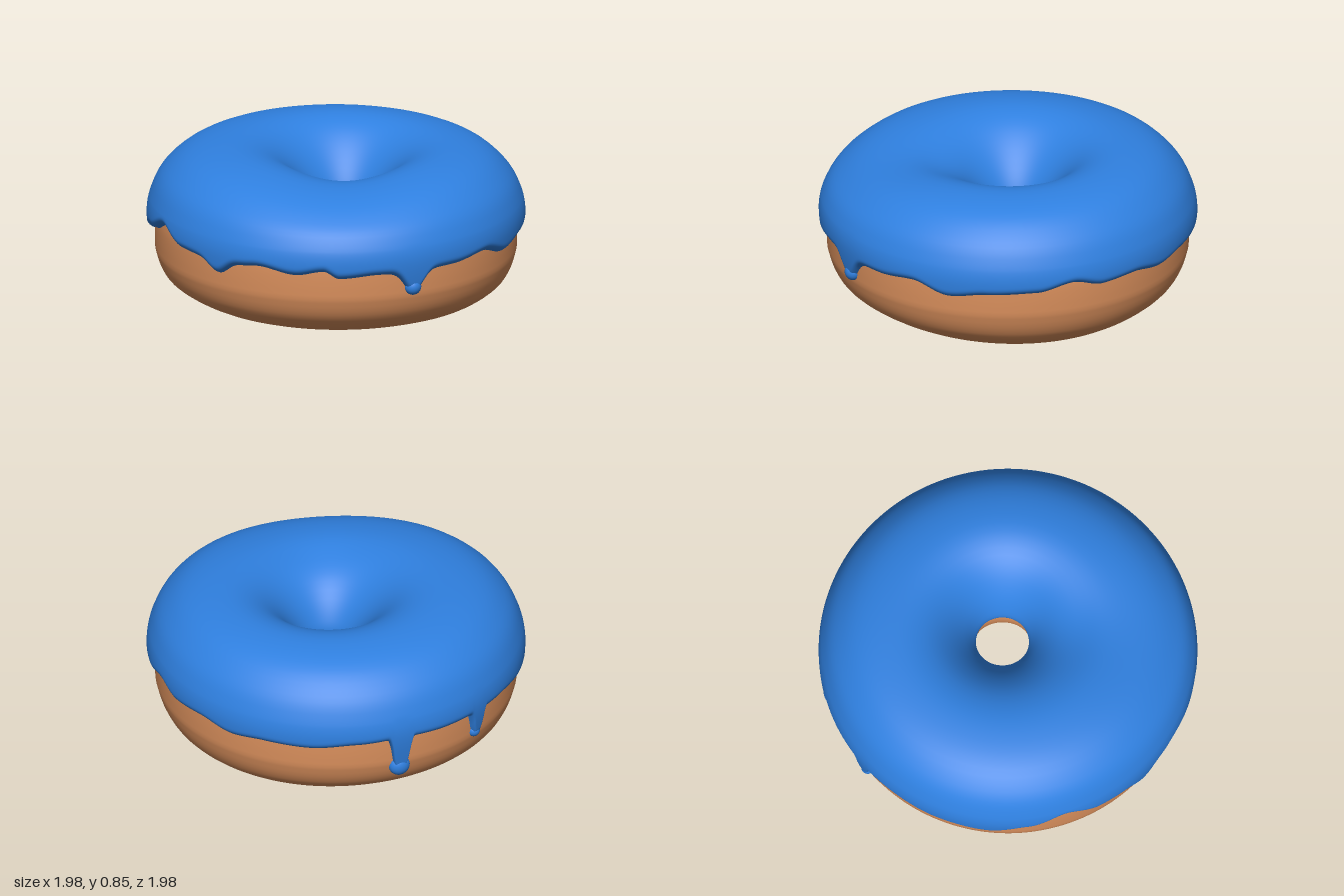
import * as THREE from 'three';

const SEG = 480;
const RAD = Math.PI / 180;
const { lerp, clamp, smoothstep } = THREE.MathUtils;

// Signed difference between two angles in degrees
const angleGap = (a, b) => ((a - b + 540) % 360) - 180;

// Icing edge height around the ring: [degrees from +x towards +z, y]
const RIM = [
  [0, 0.375], [12, 0.43], [25, 0.41], [52, 0.41], [64, 0.395], [69, 0.435], [78, 0.41],
  [90, 0.44], [96, 0.43], [113, 0.425], [121, 0.43], [133, 0.5], [145, 0.43], [157, 0.37],
  [172, 0.39], [190, 0.42], [215, 0.42], [231, 0.43], [245, 0.42], [260, 0.4], [275, 0.405],
  [286, 0.39], [298, 0.42], [310, 0.41], [320, 0.45], [332, 0.41], [348, 0.4], [360, 0.375],
];

// Drips: angle, lowest y, angular half-width, sharpness, bulb radius
const DRIPS = [
  { at: 40, tip: 0.285, width: 4, power: 2, bulb: 0.045 },
  { at: 105, tip: 0.36, width: 4.5, power: 2, bulb: 0 },
  { at: 202, tip: 0.27, width: 2.2, power: 4, bulb: 0.034 },
  { at: 231, tip: 0.2, width: 2.8, power: 4, bulb: 0.057 },
];

function rimHeight(deg) {
  let k = 0;
  while (k < RIM.length - 2 && RIM[k + 1][0] <= deg) k++;
  const [a0, y0] = RIM[k], [a1, y1] = RIM[k + 1];
  let y = lerp(y0, y1, smoothstep(deg, a0, a1));
  for (const d of DRIPS) {
    const gap = Math.abs(angleGap(deg, d.at)) / d.width;
    y = lerp(y, d.tip, Math.exp(-Math.pow(gap, d.power)));
  }
  return y;
}

// Hand-made unevenness: off-centre hole, sagging front crest, tilted base
function place(r, y, deg) {
  const a = deg * RAD;
  const shift = clamp((0.9 - r) / 0.75, 0, 1);
  const crest = 0.008 * Math.cos((deg - 200) * RAD) - 0.045 * Math.exp(-((angleGap(deg, 65) / 38) ** 2));
  const base = -0.02 * Math.max(0, Math.cos((deg + 42) * RAD)) ** 2;
  const py = y + crest * smoothstep(y, 0.5, 0.82) * smoothstep(r, 0.15, 0.45)
    + base * (1 - smoothstep(y, 0.02, 0.3));
  return [r * Math.cos(a) + 0.03 * shift, py, r * Math.sin(a) - 0.05 * shift];
}

// Sweeps a profile, which may change with the angle, into a seamless smooth ring
function ring(profileAt, closed) {
  const pos = [], index = [];
  let rows = 0;
  for (let i = 0; i < SEG; i++) {
    const deg = (i / SEG) * 360;
    const profile = profileAt(deg);
    rows = profile.length;
    for (const [r, y] of profile) pos.push(...place(r, y, deg));
  }
  for (let i = 0; i < SEG; i++) {
    const n = (i + 1) % SEG;
    for (let j = 0; j < (closed ? rows : rows - 1); j++) {
      const k = (j + 1) % rows;
      const a = i * rows + j, b = i * rows + k, c = n * rows + j, d = n * rows + k;
      index.push(a, b, c, b, d, c);
    }
  }
  const geo = new THREE.BufferGeometry();
  geo.setAttribute('position', new THREE.Float32BufferAttribute(pos, 3));
  geo.setIndex(index);
  geo.computeVertexNormals();
  return geo;
}

const spline = (pts, n) =>
  new THREE.SplineCurve(pts.map(([r, y]) => new THREE.Vector2(r, y))).getPoints(n).map((p) => [p.x, p.y]);

// Outer icing radius on the side wall
const sideRadius = (y) =>
  y > 0.47 ? 0.99 - 1.7 * (y - 0.47) ** 2 : lerp(0.957, 0.99, smoothstep(y, 0.15, 0.47));

export function createModel() {
  const group = new THREE.Group();
  const doughMat = new THREE.MeshStandardMaterial({ color: 0xd98f5c });
  const icingMat = new THREE.MeshStandardMaterial({ color: 0x2f80e0, side: THREE.DoubleSide });

  // Dough: closed profile from the outer wall over the top, through the hole and under
  const doughProfile = spline([
    [0.945, 0.28], [0.947, 0.38], [0.94, 0.48], [0.9, 0.61], [0.78, 0.72], [0.55, 0.77],
    [0.38, 0.72], [0.24, 0.6], [0.17, 0.48], [0.15, 0.4], [0.165, 0.31], [0.21, 0.2],
    [0.27, 0.11], [0.36, 0.05], [0.48, 0.022], [0.62, 0.022], [0.75, 0.055],
    [0.87, 0.13], [0.92, 0.2], [0.945, 0.28],
  ], 64).slice(0, -1);
  const dough = new THREE.Mesh(ring(() => doughProfile, true), doughMat);
  dough.name = 'dough';
  group.add(dough);

  // Icing: rounded wavy edge with drips, then over the crest and into the hole
  const overTop = spline([
    [sideRadius(0.56), 0.56], [0.943, 0.64], [0.89, 0.71], [0.8, 0.78], [0.68, 0.822], [0.53, 0.835],
    [0.4, 0.8], [0.29, 0.72], [0.2, 0.61], [0.15, 0.51], [0.139, 0.45], [0.155, 0.42],
  ], 32);
  const EDGE_ROWS = 18;
  const icingProfile = (deg) => {
    const rim = rimHeight(deg), side = [];
    for (let j = 0; j < EDGE_ROWS; j++) {
      const t = j / EDGE_ROWS;
      const y = lerp(rim, 0.56, t * t);
      const u = clamp(1 - (y - rim) / 0.05, 0, 1);
      side.push([sideRadius(y) - 0.06 * (1 - Math.sqrt(1 - u * u)), y]);
    }
    return side.concat(overTop);
  };
  const icing = new THREE.Mesh(ring(icingProfile, false), icingMat);
  icing.name = 'icing';
  group.add(icing);

  // Beads at the ends of the longer drips
  for (const d of DRIPS.filter((drip) => drip.bulb)) {
    const bead = new THREE.Mesh(new THREE.SphereGeometry(d.bulb, 24, 16), icingMat);
    const y = d.tip + d.bulb;
    bead.position.set(...place(sideRadius(y) - 0.03, y, d.at));
    bead.rotation.y = -d.at * RAD;
    bead.scale.set(Math.min(1, 0.042 / d.bulb), 1, 1);
    bead.name = 'dripBead';
    group.add(bead);
  }
  return group;
}
